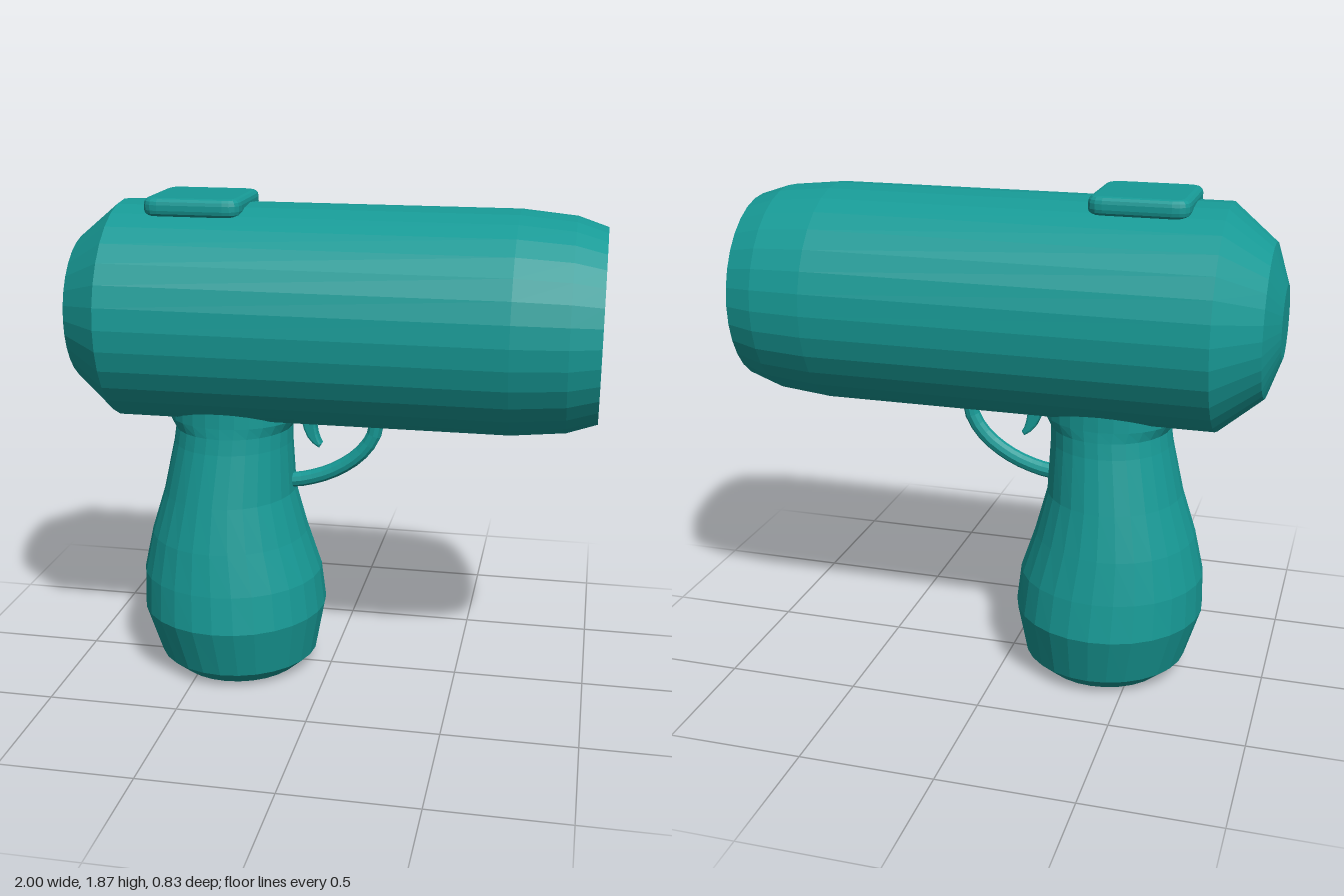
import * as THREE from 'three';

const V2 = (x, y) => new THREE.Vector2(x, y);
const V3 = (x, y) => new THREE.Vector3(x, y, 0);
const AXIS_Y = 1.43;

export function createModel() {
  const group = new THREE.Group();
  const teal = new THREE.MeshStandardMaterial({ color: 0x179a96, flatShading: true });
  const purple = new THREE.MeshStandardMaterial({ color: 0x352f6c, flatShading: true });

  const add = (name, geometry, material = teal) => {
    const mesh = new THREE.Mesh(geometry, material);
    mesh.name = name;
    group.add(mesh);
    return mesh;
  };

  // Turned part lying along x; profile is [x, radius]
  const turned = (name, profile, material) => {
    const geo = new THREE.LatheGeometry(profile.map(([x, r]) => V2(r, x)), 32);
    geo.rotateZ(-Math.PI / 2);
    add(name, geo, material).position.y = AXIS_Y;
  };

  // Barrel with stepped rear dome, tapered muzzle and inner lip
  turned('rearCap', [[-1, 0], [-1, 0.135], [-0.95, 0.28], [-0.79, 0.413]]);
  turned('barrel', [[-0.79, 0.413], [0.69, 0.413], [0.89, 0.393], [1, 0.356], [1, 0.332], [0.94, 0.33]]);
  turned('muzzleLining', [[0.94, 0.332], [0.94, 0.31], [0.9, 0.305], [0, 0.295], [0, 0]], purple);

  // Grip: rings of [y, centre x, half width x, half width z]
  const rings = [
    [0, -0.378, 0, 0], [0, -0.378, 0.245, 0.245], [0.06, -0.378, 0.313, 0.315],
    [0.255, -0.39, 0.362, 0.372], [0.4, -0.397, 0.352, 0.352], [0.56, -0.406, 0.307, 0.322],
    [0.73, -0.402, 0.257, 0.285], [0.93, -0.385, 0.23, 0.243], [0.99, -0.38, 0.226, 0.235],
    [1.03, -0.38, 0.25, 0.232], [1.2, -0.38, 0.25, 0.23],
  ];
  const grip = new THREE.LatheGeometry(rings.map(([y, , , rz]) => V2(rz, y)), 28);
  const pos = grip.attributes.position;
  for (let i = 0; i < pos.count; i++) {
    const [, cx, rx, rz] = rings[i % rings.length];
    pos.setX(i, cx + pos.getX(i) * (rz ? rx / rz : 1));
  }
  add('grip', grip);

  // Trigger guard
  const guardPath = new THREE.CatmullRomCurve3([
    V3(-0.2, 0.765), V3(-0.1, 0.78), V3(0.01, 0.82), V3(0.11, 0.89), V3(0.165, 0.97), V3(0.18, 1.06),
  ]);
  add('triggerGuard', new THREE.TubeGeometry(guardPath, 12, 0.029, 10));

  // Curved, pointed trigger
  const outline = new THREE.Shape();
  outline.moveTo(-0.115, 1.06);
  outline.quadraticCurveTo(-0.115, 0.945, -0.045, 0.912);
  outline.lineTo(-0.035, 0.928);
  outline.quadraticCurveTo(-0.062, 0.965, -0.058, 1.06);
  outline.closePath();
  const trigger = new THREE.ExtrudeGeometry(outline, {
    depth: 0.03, bevelEnabled: true, bevelThickness: 0.01, bevelSize: 0.008,
    bevelOffset: -0.008, bevelSegments: 2, curveSegments: 5,
  });
  trigger.translate(0, 0, -0.015);
  add('trigger', trigger);

  // Rounded pad on top of the barrel
  const w = 0.182, c = 0.06;
  const pad = new THREE.Shape();
  pad.moveTo(-w + c, -w);
  [[1, -1], [1, 1], [-1, 1], [-1, -1]].forEach(([sx, sy]) => {
    const horizontal = sx * sy < 0;
    const start = horizontal ? [sx * (w - c), sy * w] : [sx * w, sy * (w - c)];
    const end = horizontal ? [sx * w, sy * (w - c)] : [sx * (w - c), sy * w];
    pad.lineTo(...start);
    pad.quadraticCurveTo(sx * w, sy * w, ...end);
  });
  const padGeo = new THREE.ExtrudeGeometry(pad, {
    depth: 0.02, bevelEnabled: true, bevelThickness: 0.024, bevelSize: 0.024,
    bevelOffset: -0.024, bevelSegments: 3, curveSegments: 4,
  });
  padGeo.rotateX(-Math.PI / 2);
  add('topPad', padGeo).position.set(-0.487, 1.828, 0);

  return group;
}
